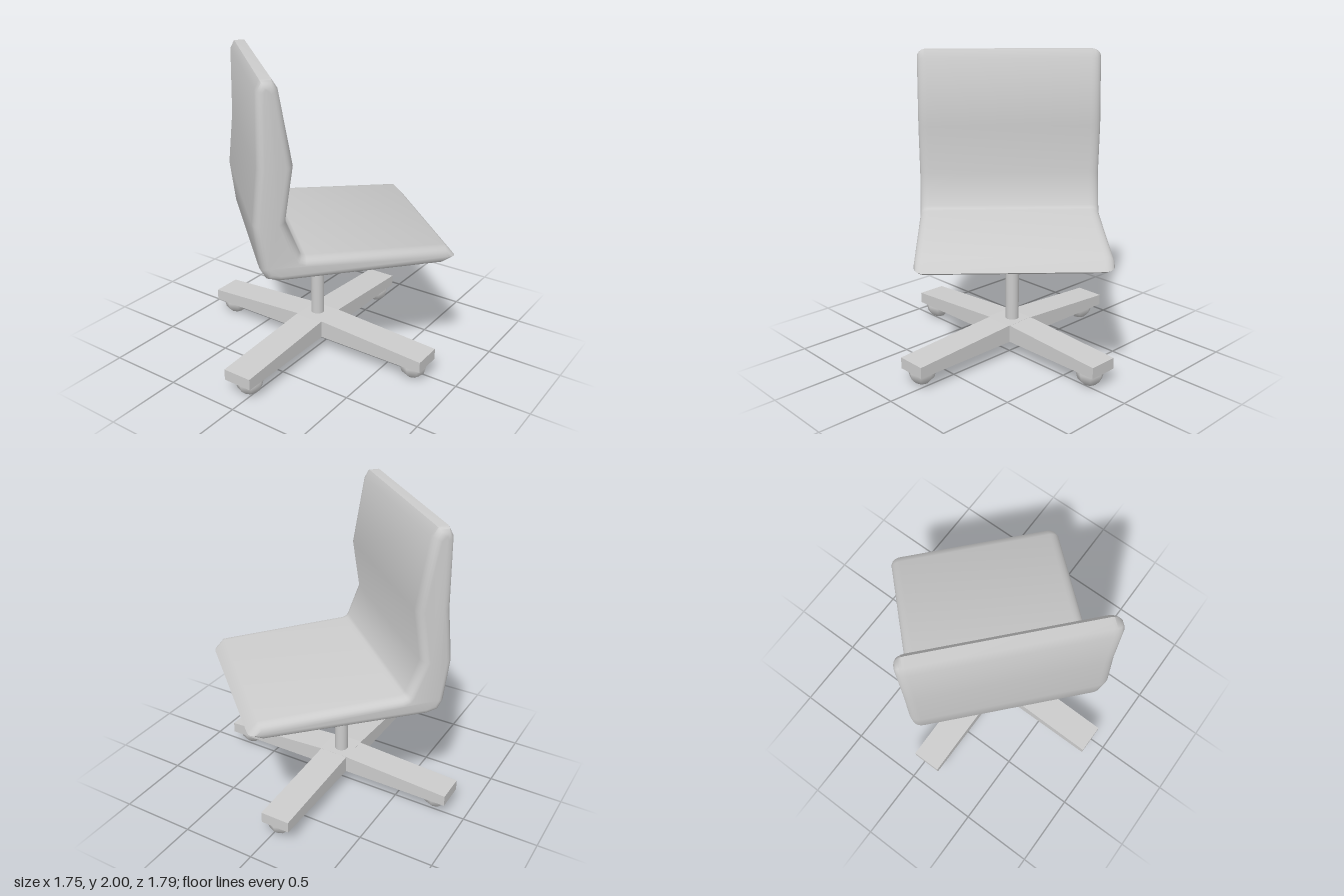
import * as THREE from 'three';
import { toCreasedNormals } from 'three/addons/utils/BufferGeometryUtils.js';

const grey = new THREE.MeshStandardMaterial({ color: 0xcccccc });

function addMesh(parent, name, geometry, x, y, z) {
  const mesh = new THREE.Mesh(geometry, grey);
  mesh.name = name;
  mesh.position.set(x, y, z);
  parent.add(mesh);
  return mesh;
}

const shapeFrom = (pts) => new THREE.Shape(pts.map(([x, y]) => new THREE.Vector2(x, y)));

// One padded shell: side profile of seat and back, swept across with rounded edges
function shellGeometry() {
  const profile = [
    [-0.41, 0.835], [0.60, 0.835], [0.63, 0.842], [0.61, 0.857],
    [-0.26, 0.885], [-0.305, 0.9], [-0.33, 0.935],
    [-0.417, 1.16], [-0.366, 1.5], [-0.44, 1.93], [-0.455, 1.955],
    [-0.47, 1.955], [-0.48, 1.935],
    [-0.487, 1.5], [-0.52, 1.16], [-0.487, 0.89], [-0.465, 0.85],
  ];
  const bevel = 0.065;
  const depth = 1.22 - 2 * bevel;
  const geo = new THREE.ExtrudeGeometry(shapeFrom(profile), {
    depth, bevelEnabled: true, bevelThickness: bevel, bevelSize: 0.045, bevelSegments: 5,
  });
  geo.translate(0, 0, -depth / 2);
  // The shell narrows slightly toward the front of the seat
  const p = geo.attributes.position;
  for (let i = 0; i < p.count; i++) {
    const t = (p.getX(i) + 0.55) / 1.22;
    p.setZ(i, p.getZ(i) * (1.02 - 0.055 * t) - 0.012);
  }
  return toCreasedNormals(geo, 1.0);
}

// Beam that thins toward both ends; two of them cross to form the four feet
function beamGeometry() {
  const h = 0.845;
  const geo = new THREE.ExtrudeGeometry(shapeFrom([
    [-h, 0.103], [h, 0.103], [h, 0.177], [0.1, 0.222], [-0.1, 0.222], [-h, 0.177],
  ]), { depth: 0.2, bevelEnabled: false });
  geo.translate(0, 0, -0.1);
  return geo;
}

export function createModel() {
  const model = new THREE.Group();
  model.name = 'swivelChair';

  // Seat and back, swivelled relative to the base
  const shell = addMesh(model, 'seatAndBack', shellGeometry(), 0, 0, 0);
  shell.rotation.y = 0.833;

  // Column
  addMesh(model, 'column', new THREE.CylinderGeometry(0.045, 0.045, 0.6, 16), -0.055, 0.51, 0.03);

  // Crossed base
  const base = new THREE.Group();
  base.name = 'base';
  model.add(base);
  addMesh(base, 'crossBeam', beamGeometry(), -0.035, 0, 0.04);
  addMesh(base, 'longBeam', beamGeometry(), -0.045, 0, 0.053).rotation.y = Math.PI / 2;

  // Ball casters under the beam ends
  const ball = new THREE.SphereGeometry(0.09, 8, 6);
  for (let i = 0; i < 4; i++) {
    const a = (i * Math.PI) / 2;
    addMesh(base, 'caster', ball, -0.03 + 0.747 * Math.cos(a), 0.09, 0.05 + 0.747 * Math.sin(a));
  }
  return model;
}
